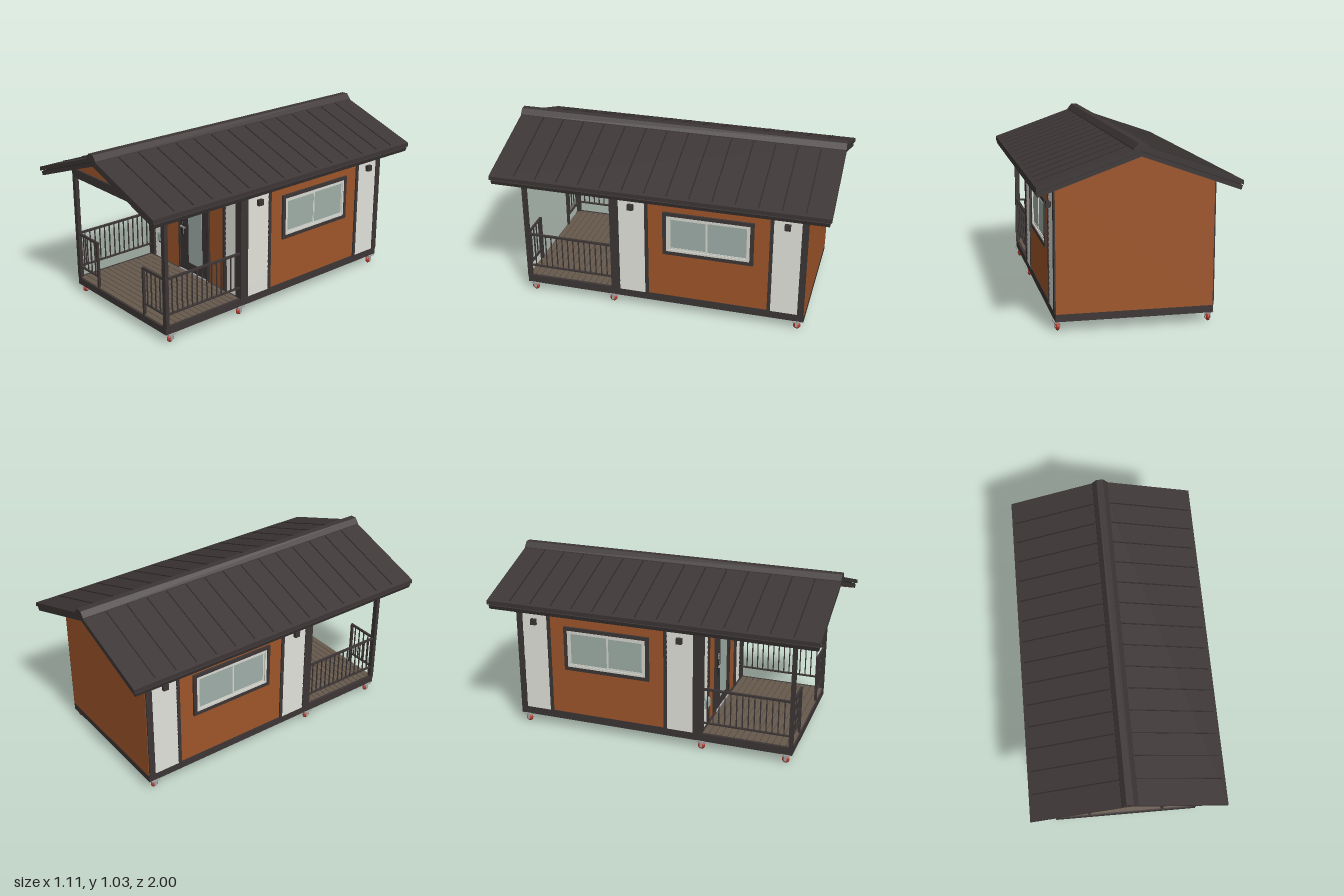
import * as THREE from 'three';

const mat = (name, color) => {
  const m = new THREE.MeshStandardMaterial({ color });
  m.name = name;
  return m;
};

export function createModel() {
  const M = {
    dark: mat('charcoalTrim', 0x3d3636), seam: mat('blackMetal', 0x2c2928),
    orange: mat('rustPanel', 0x9f562a), white: mat('whiteSiding', 0xd9d9d2),
    glass: mat('glass', 0xa0afa8), red: mat('redWheel', 0xb0382c),
    metal: mat('steel', 0xa4a5a4), deck: mat('brownBoard', 0x66584b),
    floor: mat('plywoodFloor', 0xa58763), ceiling: mat('tanCeiling', 0xf0c898),
  };
  const root = new THREE.Group();
  root.name = 'cabin';
  const group = (name, parent = root) => {
    const g = new THREE.Group();
    g.name = name;
    parent.add(g);
    return g;
  };
  const add = (parent, name, geo, m) => {
    const mesh = new THREE.Mesh(geo, m);
    mesh.name = name;
    parent.add(mesh);
    return mesh;
  };
  // box given by its min and max along each axis (either order)
  const box = (p, name, m, x0, x1, y0, y1, z0, z1) => {
    const b = add(p, name, new THREE.BoxGeometry(Math.abs(x1 - x0), Math.abs(y1 - y0), Math.abs(z1 - z0)), m);
    b.position.set((x0 + x1) / 2, (y0 + y1) / 2, (z0 + z1) / 2);
    return b;
  };
  // polygon in xy, extruded from z0 to z1
  const prism = (p, name, m, pts, z0, z1) => {
    const shape = new THREE.Shape(pts.map(([x, y]) => new THREE.Vector2(x, y)));
    const geo = new THREE.ExtrudeGeometry(shape, { depth: z1 - z0, bevelEnabled: false });
    geo.translate(0, 0, z0);
    return add(p, name, geo, m);
  };

  // Base: perimeter beams, cross beams, floor panels
  const base = group('baseFrame');
  for (const s of [-1, 1]) box(base, 'sideBeam', M.dark, s * 0.4, s * 0.441, 0.058, 0.106, -0.87, 0.85);
  for (const z of [-0.85, -0.28, 0.3, 0.83])
    box(base, 'crossBeam', M.dark, -0.4, 0.4, 0.058, 0.1, z - 0.02, z + 0.02);
  box(base, 'floorPanel', M.floor, -0.4, 0.4, 0.075, 0.1, -0.83, 0.28);
  box(base, 'porchUnderside', M.seam, -0.4, 0.4, 0.068, 0.095, 0.32, 0.81);

  // Porch deck boards
  const deck = group('porchDeck');
  const boards = 14, pitch = 0.54 / boards;
  for (let i = 0; i < boards; i++) {
    const z = 0.305 + i * pitch;
    box(deck, 'deckBoard', M.deck, -0.425, 0.425, 0.095, 0.107, z + 0.002, z + pitch - 0.002);
  }

  // House body and porch attic
  prism(root, 'houseWalls', M.orange,
    [[-0.438, 0.1], [0.438, 0.1], [0.438, 0.802], [0, 0.96], [-0.438, 0.802]], -0.871, 0.286);
  prism(root, 'porchGable', M.orange, [[-0.436, 0.8], [0.436, 0.8], [0, 0.96]], 0.286, 0.838);
  box(root, 'porchCeiling', M.ceiling, -0.42, 0.42, 0.785, 0.799, 0.287, 0.826);

  // Lap siding: saw-tooth profile, width w, facing +x before turning
  const siding = (p, w, x, z, turn) => {
    const pts = [[-0.004, 0.105]], n = 22, h = (0.795 - 0.105) / n;
    for (let i = 0; i < n; i++) pts.push([0.005, 0.105 + i * h], [0.001, 0.105 + (i + 1) * h]);
    pts.push([-0.004, 0.795]);
    const mesh = prism(p, 'lapSiding', M.white, pts, -w / 2, w / 2);
    mesh.position.set(x, 0, z);
    mesh.rotation.y = turn;
  };

  // Side walls: trim, siding, window, lamps
  const rim = (p, name, m, x0, x1, y0, y1, z0, z1, t) => {
    box(p, name, m, x0, x1, y0, y0 + t, z0, z1);
    box(p, name, m, x0, x1, y1 - t, y1, z0, z1);
    box(p, name, m, x0, x1, y0 + t, y1 - t, z0, z0 + t);
    box(p, name, m, x0, x1, y0 + t, y1 - t, z1 - t, z1);
  };
  for (const s of [-1, 1]) {
    const side = group(s > 0 ? 'leftWall' : 'rightWall');
    for (const [z0, z1] of [[0.25, 0.302], [0.07, 0.09], [-0.67, -0.65], [-0.868, -0.83]])
      box(side, 'wallTrim', M.dark, s * 0.43, s * 0.446, 0.1, 0.798, z0, z1);
    for (const z of [0.17, -0.75]) {
      siding(side, 0.16, s * 0.438, z, s > 0 ? 0 : Math.PI);
      const lamp = group('wallLamp', side);
      box(lamp, 'lampPlate', M.seam, s * 0.437, s * 0.45, 0.67, 0.695, z - 0.012, z + 0.012);
      box(lamp, 'lampBody', M.dark, s * 0.448, s * 0.468, 0.664, 0.7, z - 0.017, z + 0.017);
    }
    const win = group('slidingWindow', side);
    rim(win, 'outerFrame', M.dark, s * 0.43, s * 0.45, 0.395, 0.672, -0.56, -0.02, 0.022);
    rim(win, 'whiteFrame', M.white, s * 0.43, s * 0.448, 0.417, 0.65, -0.538, -0.042, 0.013);
    rim(win, 'rearSash', M.white, s * 0.43, s * 0.444, 0.43, 0.637, -0.525, -0.28, 0.007);
    rim(win, 'frontSash', M.white, s * 0.43, s * 0.442, 0.43, 0.637, -0.288, -0.055, 0.011);
    box(win, 'windowGlass', M.glass, s * 0.43, s * 0.44, 0.43, 0.637, -0.525, -0.055);
  }

  // Front wall: siding, trims
  const front = group('frontWall');
  for (const s of [-1, 1]) {
    siding(front, 0.106, s * 0.345, 0.287, -Math.PI / 2);
    box(front, 'cornerTrim', M.dark, s * 0.396, s * 0.446, 0.1, 0.798, 0.28, 0.305);
    box(front, 'panelTrim', M.dark, s * 0.276, s * 0.294, 0.1, 0.785, 0.28, 0.3);
  }
  box(front, 'wallHeader', M.dark, -0.396, 0.396, 0.756, 0.786, 0.28, 0.302);

  // Door
  const door = group('door');
  for (const s of [-1, 1]) box(door, 'doorJamb', M.dark, s * 0.133, s * 0.145, 0.105, 0.755, 0.28, 0.3);
  box(door, 'doorHead', M.dark, -0.145, 0.145, 0.722, 0.757, 0.28, 0.3);
  box(door, 'doorGap', M.seam, -0.133, 0.133, 0.107, 0.722, 0.28, 0.289);
  box(door, 'doorLeaf', M.dark, -0.132, 0.132, 0.11, 0.7205, 0.28, 0.295);
  box(door, 'doorGlass', M.glass, -0.05, 0.08, 0.17, 0.655, 0.29, 0.297);
  box(door, 'threshold', M.metal, -0.14, 0.14, 0.105, 0.111, 0.285, 0.304);
  for (const y of [0.16, 0.41, 0.66]) box(door, 'hinge', M.seam, 0.127, 0.134, y - 0.02, y + 0.02, 0.29, 0.302);
  box(door, 'lockPlate', M.seam, -0.118, -0.094, 0.34, 0.492, 0.29, 0.301);
  for (let i = 0; i < 4; i++)
    box(door, 'keypadRow', M.white, -0.114, -0.098, 0.446 + i * 0.01, 0.452 + i * 0.01, 0.3, 0.303);
  box(door, 'lockEdge', M.metal, -0.098, -0.095, 0.345, 0.432, 0.3, 0.302);
  box(door, 'lever', M.metal, -0.114, -0.068, 0.392, 0.401, 0.304, 0.31);
  box(door, 'leverStem', M.metal, -0.112, -0.102, 0.39, 0.403, 0.3, 0.306);

  // Meter box on the front siding
  const meter = group('meterBox');
  box(meter, 'meterBody', M.glass, -0.349, -0.303, 0.225, 0.285, 0.285, 0.312);
  box(meter, 'meterLid', M.glass, -0.345, -0.307, 0.234, 0.28, 0.311, 0.315);
  box(meter, 'meterPlug', M.seam, -0.333, -0.313, 0.221, 0.229, 0.29, 0.314);

  // Porch posts, header and railings
  const porch = group('porchFrame');
  box(porch, 'frontHeader', M.dark, -0.445, 0.445, 0.756, 0.808, 0.825, 0.85);
  for (const s of [-1, 1]) {
    box(porch, 'porchPost', M.dark, s * 0.415, s * 0.445, 0.1, 0.76, 0.827, 0.85);
    box(porch, 'sideHeader', M.dark, s * 0.42, s * 0.445, 0.758, 0.8, 0.3, 0.83);
    const rail = group('railing', porch);
    for (const [y, t] of [[0.392, 0.006], [0.176, 0.004]]) {
      box(rail, 'sideRail', M.dark, s * 0.424, s * 0.438, y - t, y + t, 0.3, 0.83);
      box(rail, 'frontRail', M.dark, s * 0.235, s * 0.416, y - t, y + t, 0.833, 0.846);
    }
    box(rail, 'railPost', M.dark, s * 0.222, s * 0.236, 0.1, 0.398, 0.832, 0.847);
    for (let i = 1; i < 15; i++) {
      const z = 0.3 + i * 0.53 / 15;
      box(rail, 'sideBar', M.dark, s * 0.428, s * 0.434, 0.176, 0.392, z - 0.003, z + 0.003);
    }
    for (const x of [0.262, 0.3, 0.34, 0.38])
      box(rail, 'frontBar', M.dark, s * x - 0.003, s * x + 0.003, 0.176, 0.392, 0.836, 0.842);
  }

  // Roof: two stepped layers, soffit, standing seams and ridge cap
  const roof = group('roof');
  const chevron = (x, top, ridgeTop, bottom, ridgeBottom, xb = x) =>
    [[-xb, bottom], [0, ridgeBottom], [xb, bottom], [x, top], [0, ridgeTop], [-x, top]];
  prism(roof, 'roofSheet', M.dark, chevron(0.555, 0.82, 1.014, 0.796, 0.99), -1, 1);
  prism(roof, 'roofGap', M.seam, chevron(0.545, 0.797, 0.991, 0.789, 0.983), -0.988, 0.988);
  prism(roof, 'roofFascia', M.dark, chevron(0.553, 0.791, 0.985, 0.767, 0.962, 0.545), -0.99, 0.99);
  prism(roof, 'soffit', M.orange, chevron(0.53, 0.776, 0.966, 0.7714, 0.961), -0.975, 0.975);
  prism(roof, 'ridgeCap', M.dark,
    [[-0.048, 0.99], [0.048, 0.99], [0.045, 1.003], [0.02, 1.034], [-0.02, 1.034], [-0.045, 1.003]], -1, 1);
  const slope = 0.194 / 0.555;
  for (const s of [-1, 1])
    for (let i = 0; i < 14; i++) {
      const seam = add(roof, 'standingSeam', new THREE.BoxGeometry(0.514, 0.008, 0.006), M.seam);
      seam.position.set(s * 0.292, 1.014 - slope * 0.292 - 0.001, -0.857 + i * 0.1313);
      seam.rotation.z = -s * Math.atan(slope);
    }

  // Casters
  for (const s of [-1, 1])
    for (const z of [0.81, 0.3, -0.83]) {
      const c = group('caster');
      c.position.set(s * 0.424, 0, z);
      box(c, 'casterPlate', M.metal, -0.025, 0.025, 0.052, 0.059, -0.025, 0.025);
      box(c, 'forkTop', M.metal, -0.016, 0.016, 0.044, 0.052, -0.016, 0.016);
      for (const k of [-1, 1]) box(c, 'forkArm', M.metal, k * 0.013, k * 0.016, 0.016, 0.046, -0.008, 0.008);
      const wheel = add(c, 'wheel', new THREE.SphereGeometry(0.022, 20, 14), M.red);
      wheel.scale.x = 0.58;
      wheel.position.y = 0.022;
      const axle = add(c, 'axle', new THREE.CylinderGeometry(0.008, 0.008, 0.034, 12), M.metal);
      axle.rotation.z = Math.PI / 2;
      axle.position.y = 0.022;
    }
  return root;
}
